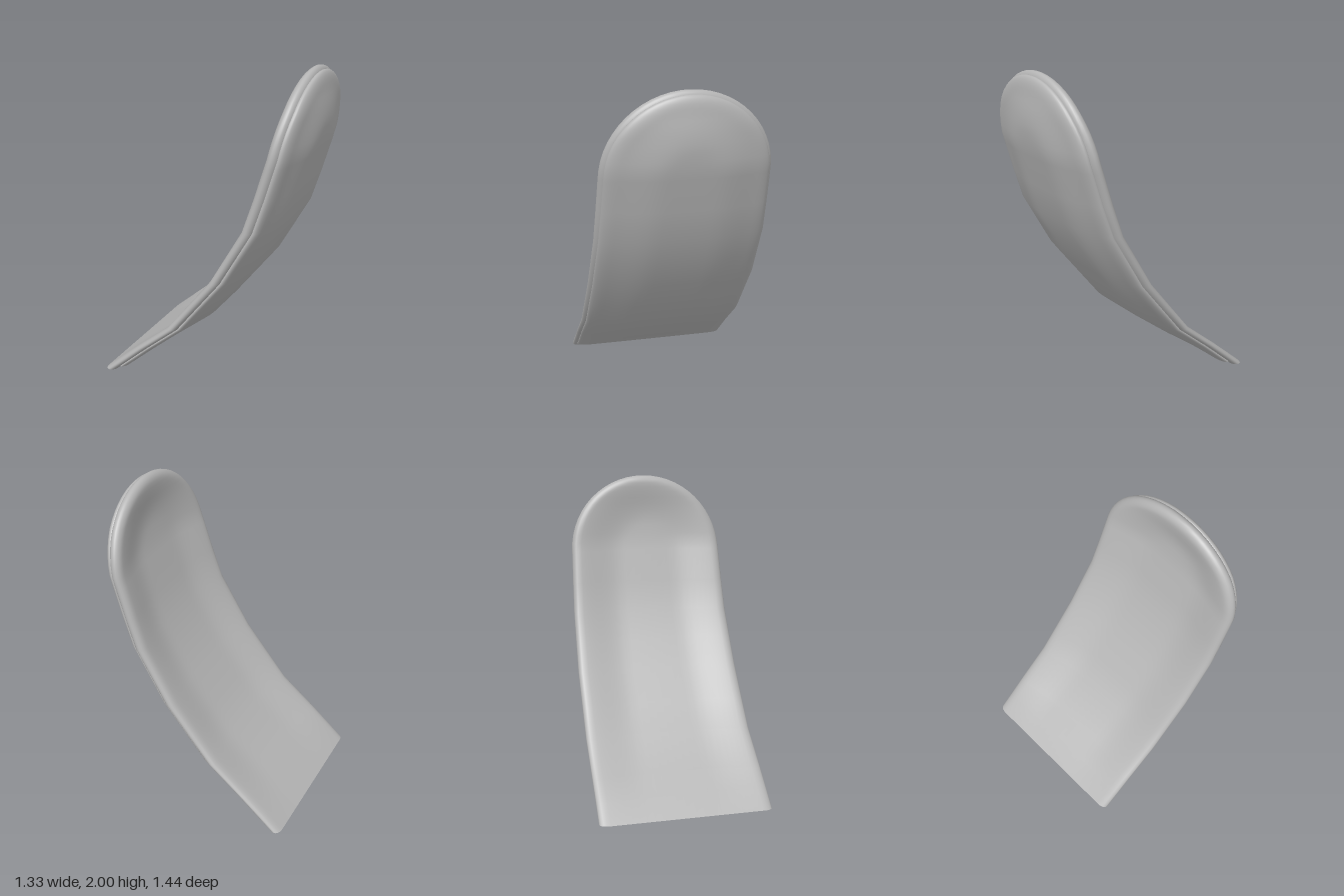
import * as THREE from 'three';
import { mergeVertices } from 'three/addons/utils/BufferGeometryUtils.js';

// Piecewise-linear lookup in [height, value] pairs
function lookup(table, y) {
  for (let i = 1; i < table.length; i++) {
    const [y0, v0] = table[i - 1], [y1, v1] = table[i];
    if (y <= y1) return v0 + (v1 - v0) * (y - y0) / (y1 - y0);
  }
  return table[table.length - 1][1];
}

// Side profile (depth by height) and half width below the rounded tip
const PROFILE = [[0, -0.55], [0.2, -0.32], [0.385, -0.095], [0.75, 0.195], [1.1, 0.395],
  [1.32, 0.467], [1.55, 0.535], [1.8, 0.583], [2, 0.61]];
const WIDTH = [[0, 0.541], [0.75, 0.533], [1.1, 0.523], [1.5, 0.51]];
const SHOULDER = 1.5, COLS = 32, TIP_ROWS = 14;

const smooth = (x) => { const t = Math.min(Math.max(x, 0), 1); return t * t * (3 - 2 * t); };

// One padded layer: closed horizontal cross-sections, dished, with rounded edges
function layerGeometry({ bottom, inset, shift, thick, round }) {
  const rows = [bottom, 0.1, 0.2, 0.385, 0.56, 0.75, 0.92, 1.1, 1.3];
  const tipHeight = 0.5 - inset;
  for (let i = 0; i <= TIP_ROWS; i++) {
    rows.push(SHOULDER + tipHeight * Math.sin((i / TIP_ROWS) * Math.PI / 2));
  }

  const ring = 2 * COLS, pos = [], index = [];
  rows.forEach((y, r) => {
    const full = lookup(WIDTH, y) - inset;
    const rise = Math.max(0, (y - SHOULDER) / tipHeight);
    const half = full * Math.sqrt(Math.max(0, 1 - rise * rise));
    for (let k = 0; k < ring; k++) {
      const front = k <= COLS;
      const t = front ? k / COLS : (ring - k) / COLS;
      const x = half * Math.sin((t - 0.5) * Math.PI);
      // distance in from the outline
      const d = Math.max(0, full * (1 - Math.hypot(x / full, rise)));
      const q = 1 - Math.min(d / round, 1);
      const edge = thick * Math.sqrt(1 - q * q);
      const dish = 0.06 * smooth(d / 0.34) * smooth(y / 0.3);
      pos.push(x, y, lookup(PROFILE, y) + shift + dish + (front ? edge : -edge));
    }
    if (r === 0) return;
    for (let k = 0; k < ring; k++) {
      const n = (k + 1) % ring, a = (r - 1) * ring, b = r * ring;
      index.push(a + k, a + n, b + n);
      if (r < rows.length - 1) index.push(a + k, b + n, b + k);
    }
  });

  const geometry = new THREE.BufferGeometry();
  geometry.setAttribute('position', new THREE.Float32BufferAttribute(pos, 3));
  geometry.setIndex(index);
  const merged = mergeVertices(geometry, 1e-5);
  merged.computeVertexNormals();

  // flat underside
  const capPos = pos.slice(0, ring * 3), capIndex = [];
  for (let k = 0; k < COLS; k++) {
    const b0 = (ring - k) % ring, b1 = ring - k - 1;
    capIndex.push(k, b0, k + 1, b0, b1, k + 1);
  }
  const cap = new THREE.BufferGeometry();
  cap.setAttribute('position', new THREE.Float32BufferAttribute(capPos, 3));
  cap.setIndex(capIndex);
  cap.computeVertexNormals();
  return [merged, cap];
}

export function createModel() {
  const model = new THREE.Group();
  model.name = 'curvedTongue';
  const material = new THREE.MeshStandardMaterial({ color: 0xb4b4b4 });
  material.name = 'plain grey';

  const layers = {
    backLayer: { bottom: 0, inset: 0, shift: 0, thick: 0.037, round: 0.05 },
    frontLayer: { bottom: 0.03, inset: 0.022, shift: 0.04, thick: 0.036, round: 0.08 },
  };
  const tongue = new THREE.Group();
  tongue.name = 'tongue';
  for (const [name, options] of Object.entries(layers)) {
    const [body, cap] = layerGeometry(options);
    const bodyMesh = new THREE.Mesh(body, material);
    bodyMesh.name = name;
    const capMesh = new THREE.Mesh(cap, material);
    capMesh.name = name + 'Underside';
    tongue.add(bodyMesh, capMesh);
  }

  // turned slightly towards its left
  tongue.rotation.y = 0.31;
  tongue.position.set(0.02, 0, -0.006);
  model.add(tongue);
  return model;
}
